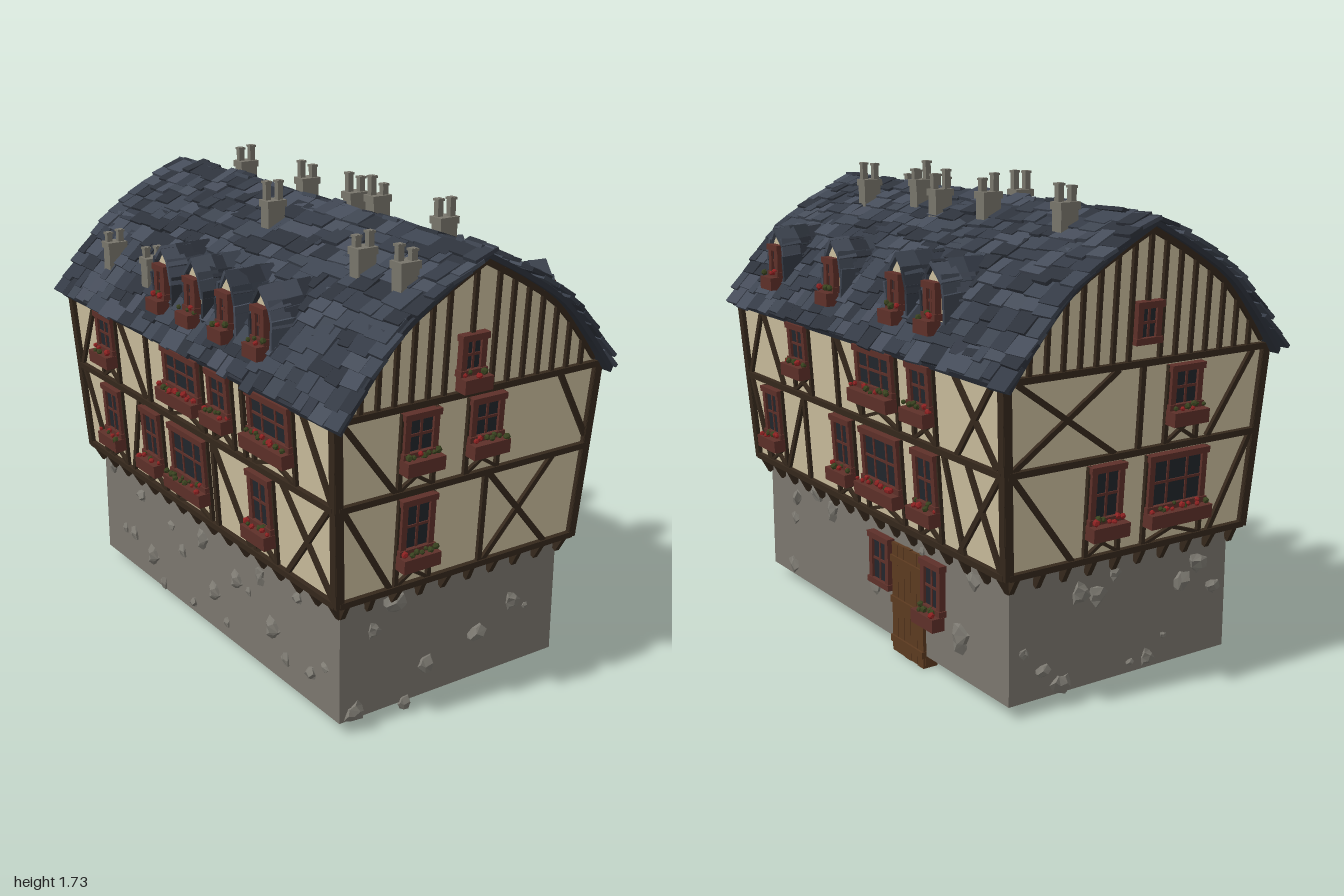
import * as THREE from 'three';
import { mergeGeometries } from 'three/addons/utils/BufferGeometryUtils.js';

const mat = (color, side = THREE.FrontSide) => new THREE.MeshStandardMaterial({ color, side, flatShading: true });
const M = {
  plaster: mat(0xcabd9c, THREE.DoubleSide), stone: mat(0x7b766e, THREE.DoubleSide), beam: mat(0x35281c),
  red: mat(0x5e3029), glass: mat(0x22262c), wood: mat(0x5c3a20), rock: mat(0x7d7a72), chimney: mat(0x78756b),
  leaf: mat(0x39421f), flower: mat(0x8e2222),
};
const slateShades = ['#343a45', '#3d4450', '#454c59', '#2d323b'].map((c) => mat(c));

// Seeded random number between a and b
let seed = 7;
const rand = (a, b) => {
  seed = (seed * 16807) % 2147483647;
  return a + (b - a) * (seed / 2147483647);
};
const anySlate = () => Math.floor(rand(0, slateShades.length));

function add(parent, name, geo, material, x = 0, y = 0, z = 0, rx = 0, ry = 0, rz = 0) {
  const m = new THREE.Mesh(geo, material);
  m.name = name;
  m.position.set(x, y, z);
  m.rotation.set(rx, ry, rz);
  parent.add(m);
  return m;
}
const box = (p, name, material, w, h, d, ...pose) => add(p, name, new THREE.BoxGeometry(w, h, d), material, ...pose);
const polygon = (pts) => new THREE.Shape(pts.map(([x, y]) => new THREE.Vector2(x, y)));
const rectangle = (x, y) => polygon([[-x, -y], [x, -y], [x, y], [-x, y]]);
function group(parent, name, x = 0, y = 0, z = 0) {
  const g = new THREE.Group();
  g.name = name;
  g.position.set(x, y, z);
  parent.add(g);
  return g;
}

// Half sizes at the jetty, inset of the stone base, storey heights and outward lean of the walls
const HX = 0.5, HZ = 0.88, INSET = 0.032, JETTY = 0.5, MIDDLE = 0.85, EAVES = 1.15, LEAN = 0.062;

// Curved roof slope from the ridge to the eave
const slope = new THREE.SplineCurve([[0, 1.61], [0.17, 1.52], [0.33, 1.415], [0.46, 1.275], [0.565, 1.14]].map((p) => new THREE.Vector2(...p)));
const slopePts = slope.getPoints(40);
const roofY = (x) => slopePts.find((p) => p.x >= Math.abs(x)).y;

// A timber between two points of a wall
function beam(p, u1, y1, u2, y2, w = 0.019, d = 0.026) {
  box(p, 'beam', M.beam, Math.hypot(u2 - u1, y2 - y1), w, d, (u1 + u2) / 2, (y1 + y2) / 2, 0, 0, 0, Math.atan2(y2 - y1, u2 - u1));
}

// Window with frame, glazing bars and an optional flower box; y is the sill
function windowUnit(p, u, y, w, h, cols = 2, flowers = true) {
  const g = group(p, 'window', u, y), t = 0.022;
  box(g, 'glass', M.glass, w - t, h - t, 0.03, 0, h / 2, 0);
  for (const s of [-1, 1]) {
    box(g, 'frameSide', M.red, t, h, 0.05, s * (w - t) / 2, h / 2);
    box(g, 'frameRail', M.red, w + t / 2, t, 0.06, 0, (h + s * (h - t)) / 2);
  }
  for (let i = 1; i < cols; i++) box(g, 'glazingBar', M.red, 0.009, h, 0.038, w * (i / cols - 0.5), h / 2);
  box(g, 'glazingBar', M.red, w, 0.009, 0.038, 0, h / 2);
  if (!flowers) return;
  box(g, 'flowerBox', M.red, w + 0.015, 0.048, 0.05, 0, -t, 0.035);
  for (let x = -w / 2 + 0.012; x < w / 2; x += 0.02) {
    const [name, material] = rand(0, 1) < 0.55 ? ['flower', M.flower] : ['leaves', M.leaf];
    add(g, name, new THREE.IcosahedronGeometry(rand(0.008, 0.014)), material, x, rand(0.005, t), rand(0.025, 0.055), x * 99);
  }
}

// Irregular boulder stuck into the stone wall
function rock(p, u, y, r) {
  const geo = new THREE.DodecahedronGeometry(r), a = geo.attributes.position, k = rand(0, 9), v = new THREE.Vector3();
  for (let i = 0; i < a.count; i++) {
    v.fromBufferAttribute(a, i);
    v.multiplyScalar(1 + 0.25 * Math.sin((v.x * 2 + v.y * 3 + v.z) / r + k));
    a.setXYZ(i, v.x, v.y, v.z);
  }
  geo.computeVertexNormals();
  add(p, 'rock', geo, M.rock, u, y, 0, 0, 0, k).scale.z = 0.6;
}

// Dormer: pointed plaster front, small window and slates over the arch
function dormer(p, u) {
  const g = group(p, 'dormer', u);
  const arch = [[0.058, 1.2], [0.058, 1.34], [0.038, 1.4], [0, 1.445]];
  const outline = [...arch, ...arch.slice(0, -1).reverse().map(([x, y]) => [-x, y])];
  add(g, 'dormerBody', new THREE.ExtrudeGeometry(polygon(outline), { depth: 0.2, bevelEnabled: false }), M.plaster, 0, 0, 0.29);
  windowUnit(group(g, 'dormerWindow', 0, 0, 0.49), 0, 1.27, 0.075, 0.125);
  for (const s of [-1, 1]) for (let i = 0; i < 3; i++) {
    const a = new THREE.Vector2(...arch[i]), d = new THREE.Vector2(...arch[i + 1]).sub(a);
    const start = i === 0 ? 0.4 : 0, mid = a.clone().addScaledVector(d, (1 + start) / 2);
    for (let z = 0.345; z < 0.48; z += 0.06) {
      box(g, 'dormerSlate', slateShades[anySlate()], d.length() * (1 - start) + 0.03, 0.012, rand(0.07, 0.085),
        s * (mid.x + 0.007), mid.y + 0.005, z, rand(-0.05, 0.12), 0, s * (d.angle() + rand(-0.1, 0.1)));
    }
  }
}

// Gable studs, barge boards and the attic window at u
function gable(f, u, flowers) {
  for (let x = -0.455; x < 0.46; x += 0.065) {
    if (Math.abs(x - u) > 0.045) beam(f, x, EAVES, x, roofY(x) - 0.02, 0.015);
  }
  beam(f, u, 1.34, u, 1.59, 0.015);
  windowUnit(f, u, 1.215, 0.1, 0.14, 2, flowers);
  for (const s of [-1, 1]) for (let i = 0; i < 35; i += 5) {
    const a = slopePts[i], b = slopePts[i + 5];
    beam(f, s * a.x, a.y - 0.025, s * b.x, b.y - 0.025, 0.024);
  }
}

// One storey: braces run from u at the floor to u at the top; windows get posts and a small cross below
function storey(f, floor, top, { narrow = [], wide = [], braces = [], crosses = [] }) {
  for (const [a, b] of braces) beam(f, a, floor, b, top);
  for (const [a, b] of crosses) {
    beam(f, a, floor, b, top);
    beam(f, b, floor, a, top);
  }
  const fit = (u, w, cols) => {
    const sill = floor + 0.115, head = top - 0.01;
    windowUnit(f, u, sill, w, head - sill, cols);
    for (const s of [-w / 2, w / 2]) {
      beam(f, u + s, floor, u + s, head, 0.016);
      beam(f, u + s, floor, u - s, sill - 0.03, 0.012);
    }
  };
  narrow.forEach((u) => fit(u, 0.135, 2));
  wide.forEach((u) => fit(u, 0.25, 3));
}

// A whole side of the house; u runs to the right as seen from outside
function buildWall(root, name, angle, lower, upper, { boulders = [], pebbles, dormers = [], attic }) {
  const isEnd = attic !== undefined;
  const [depth, width] = isEnd ? [HZ, HX] : [HX, HZ];
  const side = group(root, name);
  side.rotation.y = angle;
  const lean = group(side, 'upperStoreys', 0, JETTY, depth);
  lean.rotation.x = LEAN;
  const f = group(lean, 'timberFrame', 0, -JETTY);
  const half = (y) => width + LEAN * (y - JETTY);

  // Plaster panel, rising into the gable on the end walls
  const peak = isEnd ? slopePts.filter((p) => p.x < 0.53).map((p) => [p.x, p.y - 0.015]) : [];
  const outline = [[-half(JETTY), JETTY], [half(JETTY), JETTY], [half(EAVES), EAVES], ...peak.slice(1).reverse(),
    ...peak.map(([x, y]) => [-x, y]), [-half(EAVES), EAVES]];
  add(f, 'plaster', new THREE.ShapeGeometry(polygon(outline)), M.plaster);

  // Rails, corner posts and the two storeys
  for (const y of [JETTY + 0.008, MIDDLE, EAVES]) beam(f, -half(y), y, half(y), y, 0.022, 0.036);
  for (const s of [-1, 1]) beam(f, s * half(JETTY), JETTY, s * half(EAVES), EAVES, 0.03, 0.034);
  storey(f, JETTY + 0.015, MIDDLE - 0.01, lower);
  storey(f, MIDDLE + 0.01, EAVES - 0.01, upper);
  if (isEnd) gable(f, attic, angle === 0);
  dormers.forEach((u) => dormer(side, u));

  // Stone base with rocks, and corbels under the jetty
  const base = group(side, 'stoneBase', 0, 0, depth - INSET), reach = width - INSET;
  add(base, 'stoneWall', new THREE.PlaneGeometry(reach * 2, 0.46), M.stone, 0, 0.275);
  boulders.forEach((b) => rock(base, ...b));
  for (let i = 0; i < pebbles; i++) rock(base, reach * ((2 * i + 1) / pebbles - 1) * 0.95, rand(0.07, 0.45), rand(0.014, 0.042));
  const n = Math.round(reach / 0.055);
  for (let i = 0; i <= n; i++) box(base, 'corbel', M.beam, 0.02, 0.075, 0.026, reach * (2 * i / n - 1), 0.478, 0.02, 0.5, 0, rand(-0.12, 0.12));
  return base;
}

// Plank door with battens and threshold, flanked by two windows
function entrance(base) {
  const door = group(base, 'door', 0.24);
  for (let i = -2; i <= 2; i++) box(door, 'doorPlank', M.wood, 0.04, rand(0.41, 0.42), 0.025, i * 0.042, 0.208);
  for (const y of [0.05, 0.2, 0.355]) box(door, 'doorBatten', M.wood, 0.212, 0.025, 0.04, 0, y);
  box(door, 'threshold', M.wood, 0.21, 0.045, 0.05, 0, 0.0225, -0.02);
  windowUnit(base, 0.06, 0.225, 0.135, 0.195, 2, false);
  windowUnit(base, 0.41, 0.235, 0.125, 0.185);
}

function buildRoof(root) {
  const roof = group(root, 'roof');
  // Curved under-layer
  const outer = [...slopePts.slice(1).reverse().map((p) => [p.x, p.y]), ...slopePts.map((p) => [-p.x, p.y])];
  const inner = outer.map(([x, y]) => [x * 0.985, y - 0.018]).reverse();
  add(roof, 'roofShell', new THREE.ExtrudeGeometry(polygon([...outer, ...inner]), { depth: 1.95, bevelEnabled: false }), slateShades[3], 0, 0, -0.975);

  // Uneven overlapping slates, merged by shade
  const sets = slateShades.map(() => []), pose = new THREE.Object3D(), rows = 12;
  for (const s of [-1, 1]) for (let r = 0; r < rows; r++) {
    for (let z = -0.995, w; z < 0.96; z += w) {
      w = Math.min(rand(0.045, 0.11), 0.998 - z);
      const t = THREE.MathUtils.clamp((r + rand(0.3, 0.7)) / rows, 0.025, 0.97), p = slope.getPointAt(t), d = slope.getTangentAt(t);
      pose.position.set(s * (p.x + 0.004), p.y + rand(0.008, 0.016), z + w / 2);
      pose.rotation.set(rand(-0.04, 0.04), rand(-0.05, 0.05), s * (Math.atan2(d.y, d.x) + rand(0.04, 0.16)));
      pose.updateMatrix();
      sets[anySlate()].push(new THREE.BoxGeometry(rand(0.075, 0.105), 0.013, w).applyMatrix4(pose.matrix));
    }
  }
  sets.forEach((g, i) => add(roof, 'slates', mergeGeometries(g), slateShades[i]));

  // Chimney stacks with thin pots
  const stacks = [[-0.45, -0.71], [-0.45, -0.4], [-0.16, -0.02], [-0.22, 0.61], [-0.22, 0.835],
    [0.12, -0.66], [0.12, -0.22], [0.14, 0.06], [0.11, 0.24], [0.14, 0.575]];
  for (const [x, z] of stacks) {
    const c = group(roof, 'chimney', x, roofY(x), z);
    box(c, 'stack', M.chimney, 0.07, 0.17, 0.05, 0, 0.015);
    box(c, 'stackCap', M.chimney, 0.08, 0.025, 0.06, 0, 0.095);
    for (const s of [-1, 1]) {
      const h = rand(0.04, 0.075);
      box(c, 'chimneyPot', M.chimney, 0.022, h, 0.022, s * 0.02, 0.105 + h / 2, s * 0.008);
      box(c, 'potRim', M.chimney, 0.028, 0.008, 0.028, s * 0.02, 0.1 + h, s * 0.008);
    }
  }
}

export function createModel() {
  seed = 7;
  const root = new THREE.Group();
  root.name = 'timberFramedHouse';
  buildWall(root, 'frontWall', 0,
    { narrow: [-0.21], braces: [[-0.3, -0.5], [0.075, 0.075]], crosses: [[0.09, 0.37]] },
    { narrow: [-0.22, 0.05], braces: [[-0.3, -0.52], [0.53, 0.37]] },
    { attic: -0.03, pebbles: 4, boulders: [[-0.25, 0.43, 0.045], [0.27, 0.29, 0.034], [-0.41, 0.07, 0.036], [-0.2, 0.04, 0.03]] });
  const doorSide = buildWall(root, 'leftWall', Math.PI / 2,
    { narrow: [-0.69, -0.12, 0.45], wide: [0.155], braces: [[-0.77, -0.88], [-0.425, -0.425], [-0.61, -0.43], [0.65, 0.56], [0.86, 0.7], [0.62, 0.88]] },
    { narrow: [-0.42, 0.45], wide: [0.155], braces: [[-0.88, -0.73], [-0.59, -0.73], [-0.145, -0.145], [0.03, -0.135]], crosses: [[0.64, 0.87]] },
    { dormers: [-0.68, -0.23, 0.225, 0.455], pebbles: 5, boulders: [[-0.62, 0.385, 0.036], [-0.45, 0.45, 0.045], [-0.67, 0.09, 0.034], [0.57, 0.19, 0.05]] });
  buildWall(root, 'backWall', Math.PI,
    { narrow: [-0.13], wide: [0.17], braces: [[-0.25, -0.5], [0.34, 0.5]] },
    { narrow: [0.18], braces: [[0.3, 0.48], [0, 0]], crosses: [[-0.5, -0.1]] },
    { attic: 0, pebbles: 12 });
  buildWall(root, 'rightWall', -Math.PI / 2,
    { narrow: [-0.62, -0.3, 0.47], wide: [-0.02], braces: [[-0.73, -0.87], [-0.5, -0.4], [0.15, 0.15], [0.37, 0.15]], crosses: [[0.6, 0.87]] },
    { narrow: [-0.62, 0.24], wide: [-0.02, 0.56], braces: [[-0.88, -0.72], [-0.34, -0.52], [-0.3, -0.3], [0.38, 0.38], [0.89, 0.74]] },
    { dormers: [-0.23, -0.01, 0.215, 0.44], pebbles: 20 });
  entrance(doorSide);

  // Ledge closing the gap under the jetty
  const ledge = rectangle(HX, HZ);
  ledge.holes.push(rectangle(HX - INSET, HZ - INSET));
  add(root, 'jettyLedge', new THREE.ShapeGeometry(ledge), M.plaster, 0, JETTY, 0, Math.PI / 2);
  buildRoof(root);
  return root;
}
